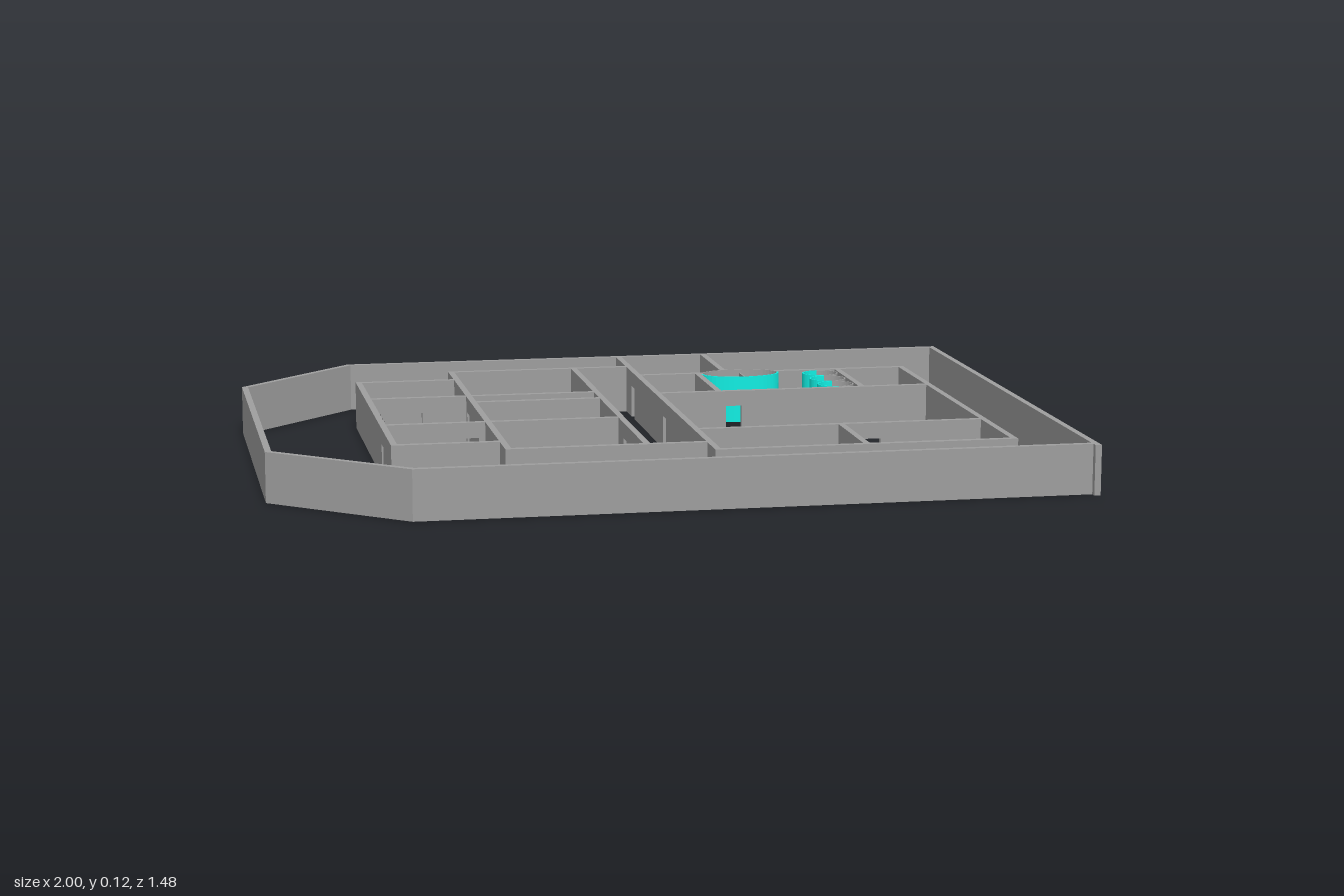
import * as THREE from 'three';

const H = 0.125, T = 0.016, DOOR_W = 0.042, DOOR_H = 0.085;
const paint = (color) => new THREE.MeshStandardMaterial({ color, side: THREE.DoubleSide });
const wallGrey = paint(0x9e9e9e), grey = paint(0xcccccc), cyan = paint(0x12eee2);
const black = paint(0x0b0b0b), brown = paint(0x2a130a), green = paint(0x1c6420);

function add(parent, name, geometry, material, x = 0, y = 0, z = 0) {
  const mesh = new THREE.Mesh(geometry, material);
  mesh.name = name;
  mesh.position.set(x, y, z);
  parent.add(mesh);
  return mesh;
}

// Box given by its centre in plan and the height of its underside
function box(parent, name, material, x, y, z, w, h, d) {
  return add(parent, name, new THREE.BoxGeometry(w, h, d), material, x, y + h / 2, z);
}

// Straight wall between two plan points, with doorways at distances along it
function wall(parent, name, [x1, z1], [x2, z2], doors = []) {
  const g = new THREE.Group();
  g.name = name;
  g.position.set(x1, 0, z1);
  g.rotation.y = -Math.atan2(z2 - z1, x2 - x1);
  const end = Math.hypot(x2 - x1, z2 - z1) + T / 2;
  let from = -T / 2;
  for (const d of doors) {
    const a = d - DOOR_W / 2;
    box(g, 'wallPanel', wallGrey, (from + a) / 2, 0, 0, a - from, H, T);
    box(g, 'doorLintel', wallGrey, d, DOOR_H, 0, DOOR_W, H - DOOR_H, T);
    from = a + DOOR_W;
  }
  box(g, 'wallPanel', wallGrey, (from + end) / 2, 0, 0, end - from, H, T);
  parent.add(g);
}

// Walls along x and along z; doors are given as absolute coordinates
const wallX = (p, z, x1, x2, doors = []) =>
  wall(p, 'crossWall', [x1, z], [x2, z], doors.map((d) => d - x1));
const wallZ = (p, x, z1, z2, doors = []) =>
  wall(p, 'longWall', [x, z1], [x, z2], doors.map((d) => d - z1));

// Curved half screen with a thin rim
function screen(parent, name, material, x, z, rx, rz, start) {
  const t = 0.003 / rz;
  const profile = [[1 - t, 0], [1, 0], [1, H], [1 - t, H], [1 - t, 0]];
  const geo = new THREE.LatheGeometry(profile.map((p) => new THREE.Vector2(...p)), 24, start, Math.PI);
  geo.scale(rx, 1, rz);
  const flat = geo.toNonIndexed();
  flat.computeVertexNormals();
  add(parent, name, flat, material, x, 0, z);
}

// Round bowl on a foot with a small tank behind it
function toilet(parent, x, z, angle = 0) {
  const g = new THREE.Group();
  g.name = 'toilet';
  const profile = [[0, 0], [0.009, 0], [0.008, 0.012], [0.015, 0.026], [0.015, 0.03], [0.011, 0.03], [0.006, 0.02], [0, 0.018]];
  add(g, 'bowl', new THREE.LatheGeometry(profile.map((p) => new THREE.Vector2(...p)), 20), grey);
  box(g, 'tank', grey, 0, 0.02, -0.018, 0.026, 0.026, 0.01);
  g.position.set(x, 0, z);
  g.rotation.y = angle;
  parent.add(g);
}

function plant(parent, x, z) {
  const g = new THREE.Group();
  g.name = 'pottedPlant';
  add(g, 'pot', new THREE.CylinderGeometry(0.006, 0.005, 0.014, 12), black, 0, 0.007, 0);
  for (let i = 0; i < 7; i++) {
    const r = i ? 0.006 : 0;
    const leaf = add(g, 'leaf', new THREE.SphereGeometry(0.006, 8, 6), green,
      r * Math.cos(i * 1.05), 0.026 + 0.004 * (i % 3), r * Math.sin(i * 1.05));
    leaf.scale.set(0.8, 1.8, 0.8);
  }
  g.position.set(x, 0, z);
  parent.add(g);
}

function recliner(parent, x, z) {
  const g = new THREE.Group();
  g.name = 'recliner';
  box(g, 'base', black, 0, 0, 0, 0.022, 0.014, 0.05);
  box(g, 'seat', black, 0, 0.014, -0.006, 0.032, 0.01, 0.064);
  box(g, 'back', black, 0, 0.015, 0.034, 0.032, 0.045, 0.012).rotation.x = 0.25;
  for (const s of [-1, 1]) box(g, 'armrest', black, s * 0.015, 0.024, 0.005, 0.005, 0.01, 0.04);
  box(g, 'cushion', grey, 0, 0.024, 0.012, 0.01, 0.004, 0.01);
  g.position.set(x, 0, z);
  parent.add(g);
}

export function createModel() {
  const model = new THREE.Group();
  model.name = 'floorPlan';
  const section = (name) => {
    const g = new THREE.Group();
    g.name = name;
    model.add(g);
    return g;
  };

  // Outer perimeter with two cut corners, mitred at every corner
  const outer = section('outerWalls');
  const points = (list) => list.map((p) => new THREE.Vector2(...p));
  const rim = new THREE.Shape(points([[0.998, -0.742], [-0.688, -0.742], [-0.998, -0.437],
    [-0.998, 0.457], [-0.675, 0.726], [0.998, 0.726]]));
  rim.holes.push(new THREE.Path(points([[0.982, -0.726], [-0.681, -0.726], [-0.982, -0.43],
    [-0.982, 0.449], [-0.669, 0.71], [0.982, 0.71]])));
  const perimeter = new THREE.ExtrudeGeometry(rim, { depth: H, bevelEnabled: false });
  perimeter.rotateX(Math.PI / 2);
  add(outer, 'perimeterWall', perimeter, wallGrey, 0, H, 0);
  box(outer, 'cornerStub', wallGrey, 0.99, 0, 0.734, T, H, 0.016);

  // Left wing
  const left = section('leftWing');
  wallZ(left, -0.685, -0.447, 0.428, [0.233]);
  wallX(left, -0.447, -0.685, -0.42);
  wallX(left, -0.198, -0.685, -0.08, [-0.565]);
  wallX(left, 0.168, -0.685, -0.08, [-0.465]);
  wallX(left, 0.428, -0.685, -0.42);
  wallZ(left, -0.42, -0.568, 0.524, [-0.152]);
  wallX(left, -0.568, -0.42, 0.075);
  wallX(left, -0.107, -0.42, -0.08);
  wallX(left, 0.524, -0.42, 0.075);
  wallZ(left, -0.08, -0.568, 0.524, [-0.3, -0.152, 0.03, 0.27]);

  // Right wing
  const right = section('rightWing');
  wallZ(right, 0.075, -0.734, 0.62, [-0.46, -0.01, 0.413]);
  wallZ(right, 0.318, -0.734, -0.467);
  wallX(right, -0.427, 0.075, 0.247);
  wallX(right, -0.427, 0.463, 0.815);
  wallZ(right, 0.24, -0.427, -0.147);
  wallX(right, -0.147, 0.075, 0.815, [0.28]);
  wallZ(right, 0.632, -0.427, -0.147);
  wallZ(right, 0.815, -0.427, 0.62);
  wallX(right, 0.358, 0.075, 0.815, [0.525]);
  wallX(right, 0.62, 0.075, 0.815);
  wallZ(right, 0.445, 0.358, 0.62);

  // Washroom: oval cubicle and three round cubicles, each half coloured
  const wash = section('washroom');
  screen(wash, 'ovalBackScreen', wallGrey, 0.355, -0.408, 0.108, 0.06, Math.PI / 2);
  screen(wash, 'ovalFrontScreen', cyan, 0.355, -0.408, 0.108, 0.06, -Math.PI / 2);
  box(wash, 'ovalDivider', wallGrey, 0.355, 0, -0.38, 0.004, H, 0.06);
  for (const x of [0.322, 0.384]) toilet(wash, x, -0.387);
  for (const z of [-0.37, -0.284, -0.198]) {
    screen(wash, 'roundFrontScreen', cyan, 0.571, z, 0.049, 0.041, Math.PI);
    screen(wash, 'roundBackScreen', wallGrey, 0.571, z, 0.049, 0.041, 0);
    toilet(wash, 0.588, z, -Math.PI / 2);
  }

  // Low round basins in the left wing
  for (const x of [-0.633, -0.592, -0.51, -0.469]) {
    const basin = add(left, 'basin', new THREE.CylinderGeometry(0.016, 0.013, 0.016, 20), grey, x, 0.008, -0.398);
    basin.scale.z = 1.15;
  }

  // Office: wall display, L-shaped desk and plant
  const office = section('office');
  box(office, 'displayFrame', black, -0.673, 0.02, -0.016, 0.009, 0.09, 0.13);
  for (let i = 0; i < 3; i++)
    for (let j = 0; j < 2; j++)
      box(office, 'displayPane', cyan, -0.6685, 0.027 + j * 0.042, -0.056 + i * 0.04, 0.001, 0.034, 0.028);
  box(office, 'deskTop', black, -0.481, 0.032, -0.01, 0.024, 0.006, 0.11);
  box(office, 'deskReturn', black, -0.458, 0.032, 0.04, 0.066, 0.006, 0.012);
  for (const z of [-0.06, 0.04]) box(office, 'deskLeg', black, -0.481, 0, z, 0.022, 0.032, 0.006);
  box(office, 'monitor', black, -0.474, 0.04, -0.018, 0.005, 0.025, 0.04);
  box(office, 'monitorScreen', cyan, -0.47, 0.043, -0.018, 0.002, 0.019, 0.034);
  plant(office, -0.457, 0.122);

  // Break room: long counter and small table
  const breakRoom = section('breakRoom');
  box(breakRoom, 'counter', grey, -0.445, 0, 0.303, 0.034, 0.045, 0.19);
  box(breakRoom, 'tableTop', grey, -0.61, 0.03, 0.3, 0.022, 0.006, 0.055);
  box(breakRoom, 'tableFoot', grey, -0.61, 0, 0.3, 0.01, 0.03, 0.03);

  // Lounge: recliners, cabinets and plants
  const lounge = section('lounge');
  for (const x of [0.198, 0.265, 0.335]) recliner(lounge, x, 0.481);
  [0.1, 0.05, 0.1].forEach((h, i) =>
    box(lounge, 'cabinet', grey, 0.19 + i * 0.064, 0, 0.594, 0.062, h, 0.034));
  for (const x of [0.332, 0.35]) plant(lounge, x, 0.378);

  // Slatted deck on a dark base
  const deck = section('deck');
  box(deck, 'deckBase', black, 0.687, 0, 0.489, 0.232, 0.042, 0.246);
  for (let i = 0; i < 14; i++)
    box(deck, 'slat', brown, 0.687, 0.042, 0.374 + i * 0.015, 0.232, 0.008, 0.0135);
  box(deck, 'deckStep', black, 0.687, 0.042, 0.594, 0.232, 0.014, 0.034);

  return model;
}
